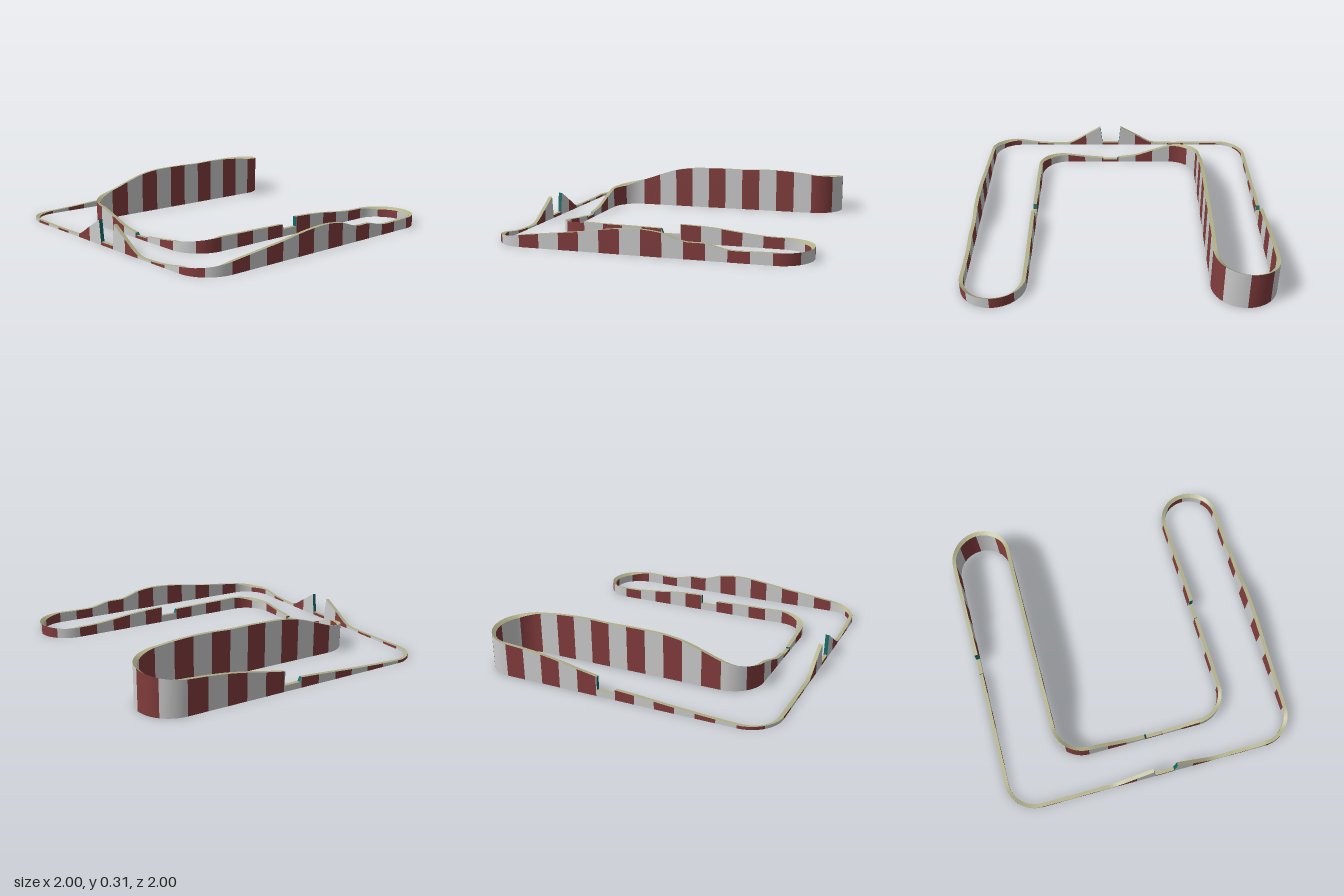
import * as THREE from 'three';
import { mergeVertices } from 'three/addons/utils/BufferGeometryUtils.js';

const U = 0.1315;            // length of one track tile
const RADIUS = 1.5 * U;      // every bend
const HALF = 0.0125;         // half the track width
const BANK = 0.017;          // drop of the inner edge in bends

// Route as [tiles, turn in quarter circles], clockwise from above
const ROUTE = [[12, 0], [2, 1], [12, 0], [4, 2], [10, 0], [2, -1],
  [6, 0], [2, -1], [10, 0], [4, 2], [12, 0], [2, 1]];

// Start point and heading of each stretch
const stretches = [];
let px = 6 * U, pz = 7.5 * U, heading = Math.PI, first = 0;
for (const [n, turn] of ROUTE) {
  const st = { n, turn, x: px, z: pz, a: heading, first };
  stretches.push(st);
  const end = along(st, n);
  px = end.x; pz = end.z; heading = end.a; first += n;
}
const TOTAL = first;

function along(st, t) {
  if (!st.turn) return { x: st.x + Math.cos(st.a) * t * U, z: st.z + Math.sin(st.a) * t * U, a: st.a };
  const k = Math.sign(st.turn);
  const a = st.a + st.turn * Math.PI / 2 * t / st.n;
  return {
    x: st.x + k * RADIUS * (Math.sin(a) - Math.sin(st.a)),
    z: st.z - k * RADIUS * (Math.cos(a) - Math.cos(st.a)), a,
  };
}

// Four corners of the cross-section at route distance s (in tiles), height h
function section(s, h) {
  const w = ((s % TOTAL) + TOTAL) % TOTAL;
  const st = stretches.find((q) => w >= q.first && w < q.first + q.n);
  const t = w - st.first;
  const p = along(st, t);
  const nx = -Math.sin(p.a) * HALF, nz = Math.cos(p.a) * HALF;
  const drop = st.turn ? Math.min(BANK, h * 0.4) * Math.min(1, t, st.n - t) : 0;
  const hl = h - (st.turn < 0 ? drop : 0), hr = h - (st.turn > 0 ? drop : 0);
  const v = (k, y) => [p.x + k * nx, y, p.z + k * nz];
  return { tl: v(-1, hl), tr: v(1, hr), bl: v(-1, 0), br: v(1, 0) };
}

// Smooth height through control points [s, h]
function heightAt(pts, i, f) {
  const slope = (j) => {
    const a = pts[Math.max(0, j - 1)], b = pts[Math.min(pts.length - 1, j + 1)];
    return (b[1] - a[1]) / (b[0] - a[0]);
  };
  const d = pts[i + 1][0] - pts[i][0], f2 = f * f, f3 = f2 * f;
  return (2 * f3 - 3 * f2 + 1) * pts[i][1] + (f3 - 2 * f2 + f) * d * slope(i)
    + (3 * f2 - 2 * f3) * pts[i + 1][1] + (f3 - f2) * d * slope(i + 1);
}

// Control points: first at s0, then every whole tile, last at s1
function run(s0, s1, heights) {
  return heights.map((h, i) =>
    [i === 0 ? s0 : i === heights.length - 1 ? s1 : Math.floor(s0) + i, h]);
}

// Long runs of track between the jumps
const RUNS = [
  // front take-off, front left corner and climb on the outer side
  run(6.12, 20, [0.16, 0.095, 0.022, 0.014, 0.014, 0.015, 0.018, 0.02, 0.02,
    0.025, 0.032, 0.04, 0.05, 0.06, 0.068]),
  // tall loop, inner straight and descent to the inner front
  run(20.95, 45, [0.13, 0.132, 0.155, 0.18, 0.2, 0.213, 0.222, 0.24, 0.258, 0.27, 0.285,
    0.3, 0.308, 0.309, 0.304, 0.306, 0.305, 0.3, 0.28, 0.24, 0.195,
    0.165, 0.14, 0.1, 0.055, 0.035]),
  // inner front and low inner straight
  run(45.92, 54, [0.03, 0.031, 0.043, 0.06, 0.078, 0.09, 0.088, 0.086, 0.084, 0.082]),
  // low loop, outer hill, front right corner and landing ramp
  run(54.95, 82.88, [0.115, 0.115, 0.11, 0.1, 0.085, 0.073, 0.07, 0.071, 0.073, 0.073, 0.073,
    0.07, 0.072, 0.1, 0.105, 0.145, 0.16, 0.155, 0.14, 0.12, 0.105, 0.09, 0.075,
    0.055, 0.04, 0.02, 0.012, 0.018, 0.09, 0.16]),
];

// Low floors and slanted lips of the jumps
const FLOORS = [[[5, 0.02], [6, 0.02]], [[20.1, 0.04], [20.95, 0.04]],
  [[45.1, 0.02], [45.92, 0.02]], [[54.1, 0.05], [54.95, 0.05]]];
const LIPS = [[[4.88, 0.16], [5, 0.02]], [[6, 0.02], [6.12, 0.16]],
  [[20, 0.068], [20.1, 0.04]], [[45, 0.035], [45.1, 0.02]], [[54, 0.082], [54.1, 0.05]]];

export function createModel() {
  const parts = {
    deck: [], jumpFace: [], greyWall: [], redWall: [], greyUnderside: [], redUnderside: [],
  };
  const quad = (name, a, b, c, d) => parts[name].push(...a, ...b, ...c, ...a, ...c, ...d);

  function build(pts, topName, caps) {
    let prev = null;
    for (let i = 0; i < pts.length - 1; i++) {
      const s0 = pts[i][0], s1 = pts[i + 1][0];
      const steps = s1 - s0 > 0.5 ? 6 : 1;
      const paint = Math.floor((s0 + s1) / 2) % 2 ? 'red' : 'grey';
      for (let j = 0; j <= steps; j++) {
        const f = j / steps;
        const c = section(s0 + (s1 - s0) * f, heightAt(pts, i, f));
        if (j > 0) {
          const p = prev;
          quad(topName, p.tl, p.tr, c.tr, c.tl);
          quad(paint + 'Wall', p.br, c.br, c.tr, p.tr);
          quad(paint + 'Wall', c.bl, p.bl, p.tl, c.tl);
          quad(paint + 'Underside', c.bl, c.br, p.br, p.bl);
        } else if (i === 0 && caps) {
          quad('jumpFace', c.bl, c.br, c.tr, c.tl);
        }
        prev = c;
      }
    }
    if (caps) quad('jumpFace', prev.br, prev.bl, prev.tl, prev.tr);
  }

  RUNS.forEach((pts) => build(pts, 'deck', true));
  FLOORS.forEach((pts) => build(pts, 'deck', false));
  LIPS.forEach((pts) => build(pts, 'jumpFace', false));

  const colors = {
    deck: 0xb0b088, jumpFace: 0x0c6a66, greyWall: 0xcccccc, redWall: 0x823c3c,
    greyUnderside: 0xcccccc, redUnderside: 0x823c3c,
  };
  const group = new THREE.Group();
  group.name = 'raceTrack';
  for (const [name, list] of Object.entries(parts)) {
    let g = new THREE.BufferGeometry();
    g.setAttribute('position', new THREE.Float32BufferAttribute(list, 3));
    if (name !== 'jumpFace') g = mergeVertices(g, 1e-5);
    g.computeVertexNormals();
    const mesh = new THREE.Mesh(g, new THREE.MeshStandardMaterial({ color: colors[name] }));
    mesh.name = name;
    group.add(mesh);
  }
  return group;
}
